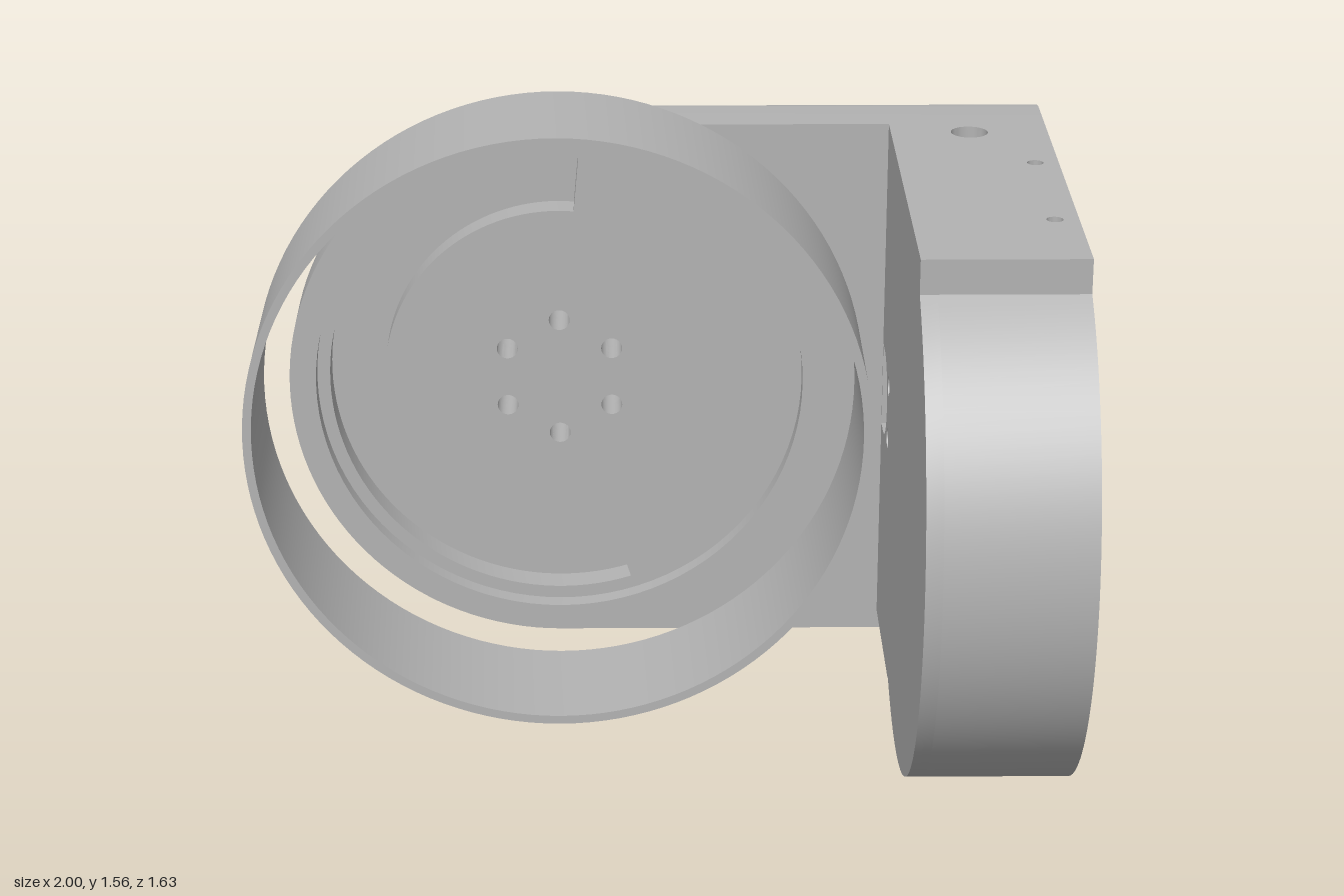
import * as THREE from 'three';
import { toCreasedNormals } from 'three/addons/utils/BufferGeometryUtils.js';

const CX = -0.22, CY = 0.7825, R = 0.6925; // hub centre and plate radius
const BACK = -0.81, STEP = -0.75, FRONT = -0.57, ROUND = 0.09;
const BORE_U = -0.13; // bore centre, u = -z
const SCREW_Y = [0.26, 1.305], SCREW_X = [0.765, 0.94], HEAD_R = 0.075;

export function createModel() {
  const model = new THREE.Group();
  const grey = new THREE.MeshStandardMaterial({ color: 0xb3b3b3, side: THREE.DoubleSide });
  grey.name = 'grey';

  const add = (name, geometry, parent = model) => {
    const mesh = new THREE.Mesh(geometry, grey);
    mesh.name = name;
    parent.add(mesh);
    return mesh;
  };
  const group = (name) => {
    const g = new THREE.Group();
    g.name = name;
    model.add(g);
    return g;
  };
  const polar = (cx, cy, r, deg) => {
    const a = THREE.MathUtils.degToRad(deg);
    return new THREE.Vector2(cx + r * Math.cos(a), cy + r * Math.sin(a));
  };
  const arc = (cx, cy, r, from, to, n) =>
    Array.from({ length: n + 1 }, (_, i) => polar(cx, cy, r, from + ((to - from) * i) / n));
  const circle = (cx, cy, r, n = 24) => arc(cx, cy, r, 0, 360, n).slice(0, n);
  const shapeOf = (points, holes = []) => {
    const s = new THREE.Shape(points);
    s.holes = holes.map((h) => new THREE.Path(h));
    return s;
  };
  const extrude = (shape, depth) =>
    toCreasedNormals(new THREE.ExtrudeGeometry(shape, { depth, bevelEnabled: false }), 0.4);
  const wall = (x, y, r, z0, z1, n = 24) => // open tube along z
    new THREE.CylinderGeometry(r, r, z1 - z0, n, 1, true).rotateX(Math.PI / 2).translate(x, y, (z0 + z1) / 2);
  const cap = (z, points, holes) => new THREE.ShapeGeometry(shapeOf(points, holes)).translate(0, 0, z);

  // Back plate outline, inset by d; the corner screw seats may bite into its right edge
  const outline = (d, bite) => {
    const pts = [], r = R - d;
    for (let i = 0; i <= 160; i++) {
      const y = CY - r + (2 * r * i) / 160;
      let x = 1 - d;
      if (bite) for (const cy of SCREW_Y) {
        const h = Math.abs(y - cy);
        if (h < HEAD_R) x = Math.min(x, SCREW_X[1] - Math.sqrt(HEAD_R ** 2 - h ** 2));
      }
      pts.push(new THREE.Vector2(x, y));
    }
    return pts.concat(arc(CX, CY, r, 90, 270, 64));
  };
  const loft = (rings) => {
    const pos = [], index = [], n = rings[0].points.length;
    rings.forEach(({ z, points }) => points.forEach((p) => pos.push(p.x, p.y, z)));
    for (let k = 0; k < rings.length - 1; k++) {
      for (let i = 0; i < n; i++) {
        const a = k * n + i, b = k * n + ((i + 1) % n);
        index.push(a, a + n, b, b, a + n, b + n);
      }
    }
    const g = new THREE.BufferGeometry();
    g.setAttribute('position', new THREE.Float32BufferAttribute(pos, 3));
    g.setIndex(index);
    return toCreasedNormals(g, 0.5);
  };
  const inset = (z) => {
    const t = Math.max(0, BACK + ROUND - z);
    return ROUND - Math.sqrt(Math.max(0, ROUND ** 2 - t ** 2));
  };
  const ringsBetween = (z0, z1, n, bite) =>
    Array.from({ length: n + 1 }, (_, i) => {
      const z = z0 + (z1 - z0) * (1 - Math.cos((i / n) * Math.PI / 2));
      return { z, points: outline(inset(z), bite) };
    });

  // Back plate with rounded rear edge
  const plate = group('backPlate');
  const hubHoles = [0, 1, 2, 3, 4, 5].map((k) => polar(CX, CY, 0.155, 90 + 60 * k));
  const hubPaths = hubHoles.map((p) => circle(p.x, p.y, 0.027));
  const seats = SCREW_Y.map((y) => circle(SCREW_X[0], y, HEAD_R, 32));
  const screwPaths = SCREW_Y.flatMap((y) => SCREW_X.map((x) => circle(x, y, 0.042)));
  add('roundedEdge', loft(ringsBetween(BACK, STEP, 8, true)), plate);
  add('plateSide', loft([...ringsBetween(STEP, BACK + ROUND, 3, false), { z: FRONT, points: outline(0, false) }]), plate);
  add('rearFace', cap(BACK, outline(ROUND, true), [...hubPaths, ...seats]), plate);
  add('screwSeatFloor', cap(STEP, outline(inset(STEP), false), [...hubPaths, ...screwPaths]), plate);
  add('frontFace', cap(FRONT, outline(0, false), [circle(CX, CY, 0.625, 96)]), plate);
  for (const p of hubHoles) add('hubHole', wall(p.x, p.y, 0.027, BACK, -0.62), plate);
  for (const y of SCREW_Y) {
    add('screwSeat', wall(SCREW_X[0], y, HEAD_R, BACK, STEP, 32), plate);
    for (const x of SCREW_X) {
      add('screwHole', wall(x, y, 0.042, STEP, -0.6), plate);
      add('screwHoleEnd', cap(-0.6, circle(x, y, 0.042)), plate);
    }
  }

  // Round recess in the plate with a curved groove in its floor
  const groove = [...arc(CX, CY, 0.592, 85, 288, 72), ...arc(CX, CY, 0.45, 288, 85, 72)];
  const disc = circle(CX, CY, 0.625, 96);
  add('recessWall', wall(CX, CY, 0.625, -0.62, FRONT, 96), plate);
  add('recessFloor', extrude(shapeOf(disc, [groove, ...hubPaths]), 0.08).translate(0, 0, -0.7), plate);
  add('grooveFloor', extrude(shapeOf(disc, hubPaths), 0.03).translate(0, 0, -0.73), plate);

  // Thin ring standing in front of the plate
  const ring = shapeOf(circle(CX, CY, 0.78, 128), [circle(CX, CY, 0.758, 128)]);
  add('ring', extrude(ring, 0.39).translate(0, 0, FRONT));

  // Side housing, drawn in (u, y) and extruded along x
  const housing = group('sideHousing');
  const alongX = (shape, x0, x1) => extrude(shape, x1 - x0).rotateY(Math.PI / 2).translate(x0, 0, 0);
  const startDeg = THREE.MathUtils.radToDeg(Math.acos(-0.33 / R));
  const profile = [
    new THREE.Vector2(-0.46, 1.42),
    ...arc(BORE_U, CY, R, startDeg, 294, 64),
    new THREE.Vector2(0.155, 0.14),
    new THREE.Vector2(0.57, 0.14),
    new THREE.Vector2(0.57, 1.42),
  ];
  // Bore with six pockets between six teeth; the rear pocket opens into a cable slot
  const bore = [];
  for (let k = 0; k < 6; k++) {
    const a = 60 * k;
    if (k === 0) {
      bore.push(...arc(BORE_U, CY, 0.635, -17, -10, 4),
        new THREE.Vector2(0.562, CY - 0.11), new THREE.Vector2(0.562, CY + 0.11),
        ...arc(BORE_U, CY, 0.635, 10, 17, 4));
    } else bore.push(...arc(BORE_U, CY, 0.635, a - 17, a + 17, 14));
    bore.push(...arc(BORE_U, CY, 0.442, a + 17, a + 43, 10));
  }
  const toothHoles = [0, 1, 2, 3, 4, 5].map((k) => {
    const p = polar(BORE_U, CY, 0.525, 30 + 60 * k);
    return circle(p.x, p.y, 0.02, 16);
  });
  add('toothedWall', alongX(shapeOf(profile, [bore, ...toothHoles]), 0.65, 1), housing);

  const cableSlot = [
    new THREE.Vector2(0.562, CY + 0.11),
    ...arc(0.508, CY, 0.11, 90, 270, 24),
    new THREE.Vector2(0.562, CY - 0.11),
  ];
  const floorHoles = [-0.07, 0.07].map((dy) => circle(0.36, CY + dy, 0.025));
  add('housingFloor', alongX(shapeOf(profile, [cableSlot, ...floorHoles]), 0.61, 0.65), housing);

  // Top slab of the housing with its screw holes, drawn in (x, -z)
  const slab = shapeOf(
    [[0.61, -0.46], [1, -0.46], [1, 0.57], [0.61, 0.57]].map(([x, y]) => new THREE.Vector2(x, y)),
    [circle(0.805, 0.5, 0.046, 32), circle(0.943, 0.25, 0.02), circle(0.943, -0.18, 0.02)]
  );
  add('topSlab', extrude(slab, 0.055).rotateX(-Math.PI / 2).translate(0, 1.42, 0), housing);

  return model;
}
